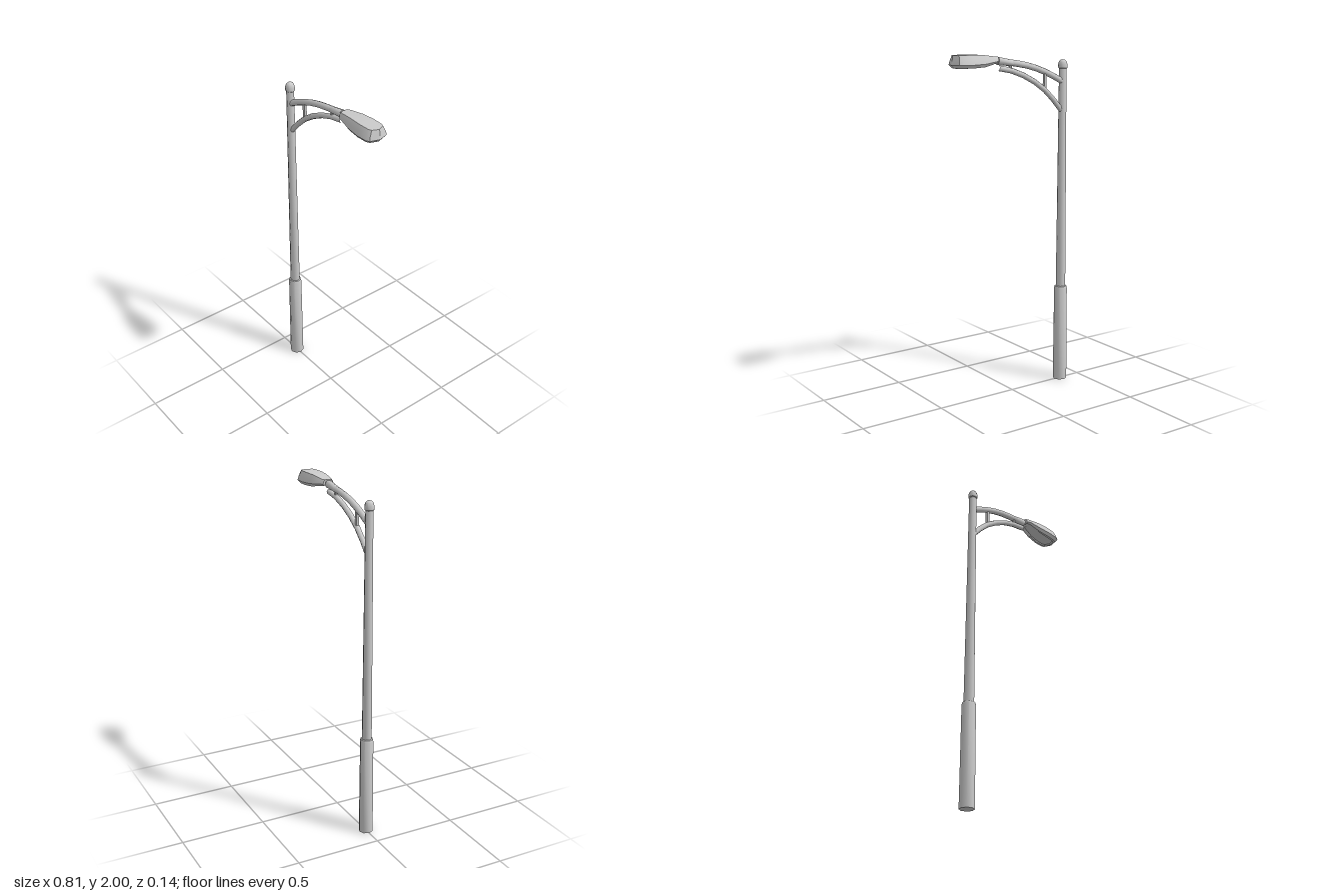
import * as THREE from 'three';
import { toCreasedNormals } from 'three/addons/utils/BufferGeometryUtils.js';

const POLE_X = -0.362;
const material = new THREE.MeshStandardMaterial({ color: 0xcccccc });

function add(group, name, geometry) {
  const mesh = new THREE.Mesh(geometry, material);
  mesh.name = name;
  group.add(mesh);
  return mesh;
}

function lathe(points) {
  const profile = points.map(([r, y]) => new THREE.Vector2(r, y));
  return toCreasedNormals(new THREE.LatheGeometry(profile, 8), 0.8);
}

function tube(points, radius) {
  const curve = new THREE.CatmullRomCurve3(points.map(([x, y]) => new THREE.Vector3(x, y, 0)));
  return new THREE.TubeGeometry(curve, 6, radius, 8);
}

// Straight round bar between two points in the z = 0 plane
function bar(group, name, [x0, y0], [x1, y1], r0, r1) {
  const dir = new THREE.Vector3(x1 - x0, y1 - y0, 0);
  const mesh = add(group, name, toCreasedNormals(new THREE.CylinderGeometry(r1, r0, dir.length(), 8), 0.8));
  mesh.position.set((x0 + x1) / 2, (y0 + y1) / 2, 0);
  mesh.quaternion.setFromUnitVectors(new THREE.Vector3(0, 1, 0), dir.normalize());
}

// Stacked copies of the lamp outline, closed at top and bottom
function lampGeometry() {
  const half = [[0.11, 0.031], [0.13, 0.044], [0.22, 0.061], [0.3, 0.07], [0.365, 0.067], [0.385, 0.056]];
  const outline = [...half, [0.402, 0], ...half.map(([x, z]) => [x, -z]).reverse()];
  const n = outline.length;
  const ramp = (x, a, b) => THREE.MathUtils.lerp(a, b, THREE.MathUtils.smoothstep(x, 0.1, 0.26));
  // Each level: [x scale, z scale, height at neck, height at tip]
  const levels = [
    [0.8, 0.55, 1.957, 1.934],
    [0.84, 0.62, 1.953, 1.926],
    [0.95, 0.8, 1.951, 1.927],
    [1, 1, 1.96, 1.945],
    [0.985, 0.9, 1.972, 1.968],
    [0.965, 0.66, 1.984, 1.998],
  ];
  const pos = [], index = [];
  for (const [sx, sz, yNeck, yTip] of levels) {
    for (const [x, z] of outline) {
      const px = sx < 0.9 ? 0.26 + (x - 0.26) * sx : 0.11 + (x - 0.11) * sx;
      pos.push(px, ramp(x, yNeck, yTip), z * sz);
    }
  }
  for (let l = 0; l < levels.length - 1; l++) {
    for (let i = 0; i < n; i++) {
      const a = l * n + i, b = l * n + (i + 1) % n;
      index.push(a, b, b + n, a, b + n, a + n);
    }
  }
  // Caps run in strips across the width, pairing front and back points
  const top = (levels.length - 1) * n;
  for (let i = 0; i < (n - 1) / 2; i++) {
    const a = i, b = i + 1, c = n - 1 - b, d = n - 1 - a;
    index.push(a, c, b, a, d, c);
    index.push(top + a, top + b, top + c, top + a, top + c, top + d);
  }
  const g = new THREE.BufferGeometry();
  g.setAttribute('position', new THREE.Float32BufferAttribute(pos, 3));
  g.setIndex(index);
  return toCreasedNormals(g, 0.6);
}

export function createModel() {
  const model = new THREE.Group();
  model.name = 'streetLight';

  // Pole with thick base sleeve and rounded cap
  const pole = new THREE.Group();
  pole.name = 'pole';
  pole.position.x = POLE_X;
  model.add(pole);
  add(pole, 'baseSleeve', lathe([[0, 0], [0.042, 0], [0.039, 0.58], [0.036, 0.592], [0.028, 0.595]]));
  add(pole, 'shaft', lathe([[0.029, 0.58], [0.022, 1.91]]));
  add(pole, 'cap', lathe([[0.02, 1.902], [0.027, 1.908], [0.027, 1.93], [0.022, 1.946], [0.012, 1.955], [0, 1.957]]));

  // Curved arms joined by struts
  const arm = new THREE.Group();
  arm.name = 'arm';
  model.add(arm);
  add(arm, 'upperArm', tube([[-0.355, 1.832], [-0.25, 1.882], [-0.13, 1.923], [0, 1.947], [0.03, 1.951]], 0.018));
  add(arm, 'lowerArm', tube([[-0.355, 1.66], [-0.25, 1.77], [-0.13, 1.85], [0, 1.902], [0.095, 1.92]], 0.016));
  bar(arm, 'armSleeve', [0, 1.946], [0.102, 1.96], 0.018, 0.023);
  bar(arm, 'lampNeck', [0.09, 1.96], [0.125, 1.966], 0.017, 0.017);
  bar(arm, 'longStrut', [-0.23, 1.785], [-0.23, 1.89], 0.011, 0.011);
  bar(arm, 'shortStrut', [0.012, 1.9], [0.012, 1.945], 0.01, 0.01);

  // Lamp head
  add(model, 'lampHead', lampGeometry());
  return model;
}
